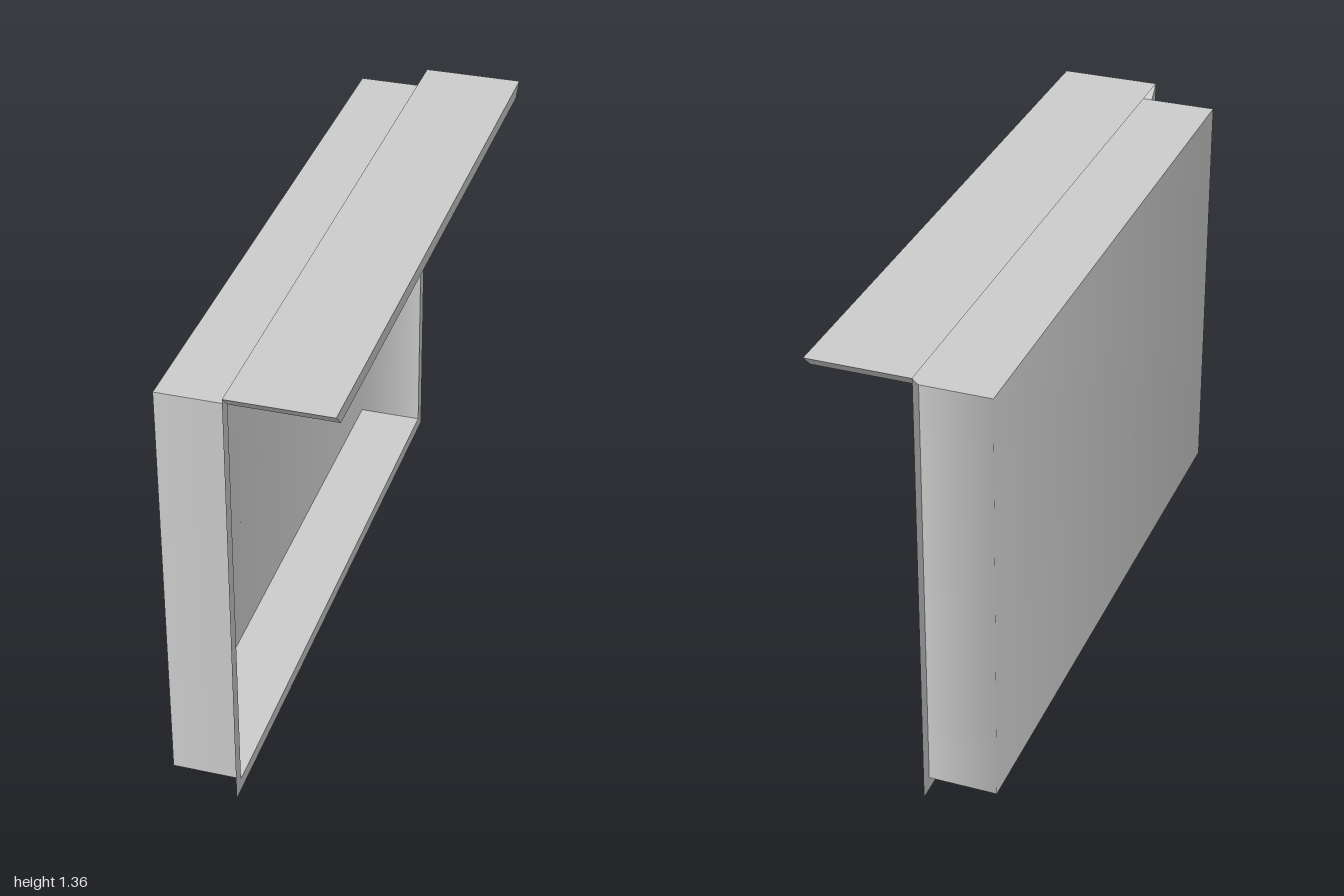
import * as THREE from 'three';

const H = 1.005, h = 0.965;      // outer and inner half widths of the frame
const TOP = 1.36, RIM = 0.04;    // frame height and rim width
const LOW = RIM, HIGH = TOP - RIM;
const BACK = -0.204, FRONT = 0.303;

// Thin sheet from four corners, counter-clockwise; optional normals for rounded shading
function quad(a, b, c, d, normals) {
  const g = new THREE.BufferGeometry();
  g.setAttribute('position', new THREE.Float32BufferAttribute([a, b, c, d].flat(), 3));
  g.setIndex([0, 1, 2, 0, 2, 3]);
  if (normals) g.setAttribute('normal', new THREE.Float32BufferAttribute(normals.flat(), 3));
  else g.computeVertexNormals();
  return g;
}

export function createModel() {
  const grey = new THREE.MeshStandardMaterial({ color: 0xcccccc, side: THREE.DoubleSide });
  grey.name = 'light grey';
  const model = new THREE.Group();
  model.name = 'recessedPanel';
  const body = new THREE.Group();
  body.name = 'body';
  model.add(body);
  const add = (name, geometry) => {
    const mesh = new THREE.Mesh(geometry, grey);
    mesh.name = name;
    body.add(mesh);
  };

  // Flat U-shaped frame with mitred upper tips
  const outline = [[-H, 0], [H, 0], [H, TOP], [h, HIGH], [h, LOW], [-h, LOW], [-h, HIGH], [-H, TOP]];
  add('frame', new THREE.ShapeGeometry(new THREE.Shape(outline.map(p => new THREE.Vector2(...p)))));

  // Recessed tray: floor and ceiling, then walls whose shading flows round the back corners
  add('trayFloor', quad([-h, LOW, 0], [h, LOW, 0], [h, LOW, BACK], [-h, LOW, BACK]));
  add('trayCeiling', quad([-h, HIGH, BACK], [h, HIGH, BACK], [h, HIGH, 0], [-h, HIGH, 0]));
  const k = Math.SQRT1_2;
  const nl = [k, 0, k], nr = [-k, 0, k];
  add('trayBack', quad([-h, LOW, BACK], [h, LOW, BACK], [h, HIGH, BACK], [-h, HIGH, BACK], [nl, nr, nr, nl]));
  add('trayEndLeft', quad([h, LOW, BACK], [h, LOW, 0], [h, HIGH, 0], [h, HIGH, BACK],
    [nr, [-1, 0, 0], [-1, 0, 0], nr]));
  add('trayEndRight', quad([-h, LOW, 0], [-h, LOW, BACK], [-h, HIGH, BACK], [-h, HIGH, 0],
    [[1, 0, 0], nl, nl, [1, 0, 0]]));

  // Canopy: the top rim drawn forward, open at the back, with slanted ends
  add('canopyTop', quad([-H, TOP, FRONT], [H, TOP, FRONT], [H, TOP, 0], [-H, TOP, 0]));
  add('canopyUnderside', quad([-h, HIGH, 0], [h, HIGH, 0], [h, HIGH, FRONT], [-h, HIGH, FRONT]));
  add('canopyLip', quad([-h, HIGH, FRONT], [h, HIGH, FRONT], [H, TOP, FRONT], [-H, TOP, FRONT]));
  add('canopyEndLeft', quad([h, HIGH, FRONT], [h, HIGH, 0], [H, TOP, 0], [H, TOP, FRONT]));
  add('canopyEndRight', quad([-h, HIGH, 0], [-h, HIGH, FRONT], [-H, TOP, FRONT], [-H, TOP, 0]));

  // Turn the panel to its slanted stance
  body.rotation.y = Math.atan2(0.901, 0.434);
  body.position.set(-0.055, 0, -0.042);
  return model;
}
